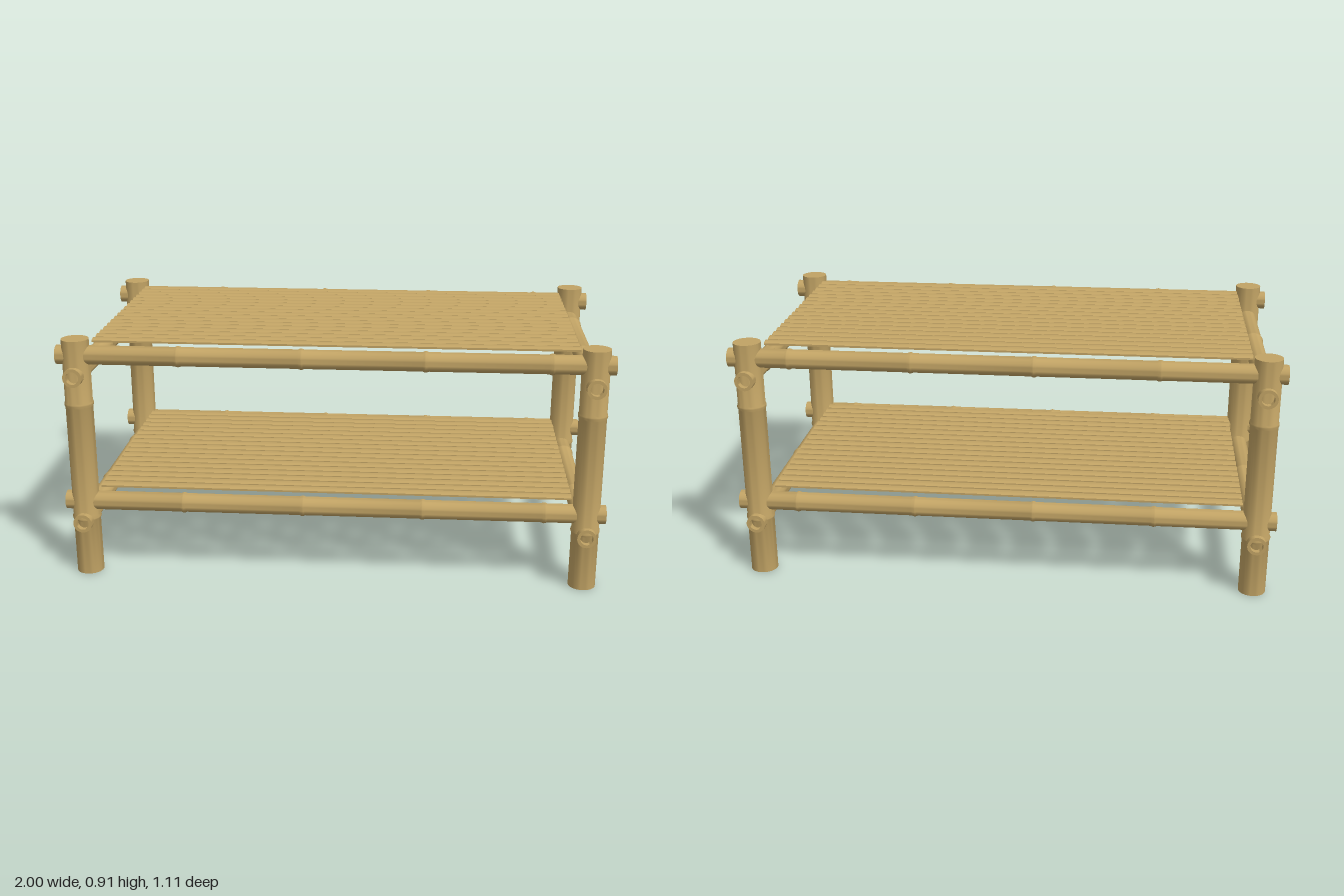
import * as THREE from 'three';
import { toCreasedNormals } from 'three/addons/utils/BufferGeometryUtils.js';

const V = (x, y) => new THREE.Vector2(x, y);
const NODE_GAP = 0.4444;

// Outer wall of a bamboo pole from y0 to y1, with a soft bulge at every node
function outerWall(r, y0, y1, nodes) {
  const pts = [V(r, y0)];
  for (const n of nodes) {
    for (const [dy, dr] of [[-0.011, 0], [-0.005, 0.0025], [0, 0.0035], [0.005, 0.0025], [0.011, 0]]) {
      pts.push(V(r + dr, n + dy));
    }
  }
  pts.push(V(r, y1));
  return pts;
}

const lathe = (pts) => toCreasedNormals(new THREE.LatheGeometry(pts, 32), 0.7);

// Leg: hollow at the foot, closed on top
function legGeometry(r, height) {
  const ri = r * 0.67;
  return lathe([
    V(0, 0.2), V(ri, 0.2), V(ri, 0),
    ...outerWall(r, 0, height, [0.222, 0.666]),
    V(0, height),
  ]);
}

// Rail: tube open at both ends, centred on the origin along y
function railGeometry(r, length) {
  const h = length / 2, ri = r * 0.67, nodes = [];
  for (let y = -h + NODE_GAP; y < h - 0.15; y += NODE_GAP) nodes.push(y);
  return lathe([...outerWall(r, -h, h, nodes), V(ri, h), V(ri, -h), V(r, -h)]);
}

// Split-bamboo slat: flat underside, domed top, running along x
function slatGeometry(width, length) {
  const w = width / 2, s = new THREE.Shape();
  s.moveTo(-w, 0);
  s.lineTo(w, 0);
  s.lineTo(w, 0.007);
  s.quadraticCurveTo(0, 0.019, -w, 0.007);
  s.closePath();
  const g = new THREE.ExtrudeGeometry(s, { depth: length, bevelEnabled: false, curveSegments: 8 });
  g.translate(0, 0, -length / 2).rotateY(Math.PI / 2);
  return toCreasedNormals(g, 0.6);
}

export function createModel() {
  const table = new THREE.Group();
  table.name = 'bambooTable';
  const bamboo = new THREE.MeshStandardMaterial({ color: 0xc0a264 });
  bamboo.name = 'bamboo';

  const add = (parent, name, geometry, x, y, z) => {
    const mesh = new THREE.Mesh(geometry, bamboo);
    mesh.name = name;
    mesh.position.set(x, y, z);
    parent.add(mesh);
  };

  const LEG_X = 0.93, LEG_Z = 0.485;
  const leg = legGeometry(0.05, 0.91);
  const longRail = railGeometry(0.035, 2).rotateZ(-Math.PI / 2);
  const shortRail = railGeometry(0.035, 1.11).rotateX(-Math.PI / 2);
  const slat = slatGeometry(0.044, 1.76);

  // Four corner legs
  for (const sx of [-1, 1]) {
    for (const sz of [-1, 1]) {
      add(table, (sz > 0 ? 'front' : 'back') + (sx > 0 ? 'Left' : 'Right') + 'Leg', leg, sx * LEG_X, 0, sz * LEG_Z);
    }
  }

  // Two levels: a rail frame with a slatted deck
  for (const [name, y] of [['lowerShelf', 0.284], ['tableTop', 0.85]]) {
    const level = new THREE.Group();
    level.name = name;
    for (const s of [-1, 1]) {
      add(level, s > 0 ? 'frontRail' : 'backRail', longRail, 0, y, s * LEG_Z);
      add(level, s > 0 ? 'leftRail' : 'rightRail', shortRail, s * LEG_X, y - 0.07, 0);
    }
    for (let i = -8; i <= 8; i++) add(level, 'slat', slat, 0, y + 0.036, i * 0.0528);
    table.add(level);
  }
  return table;
}
